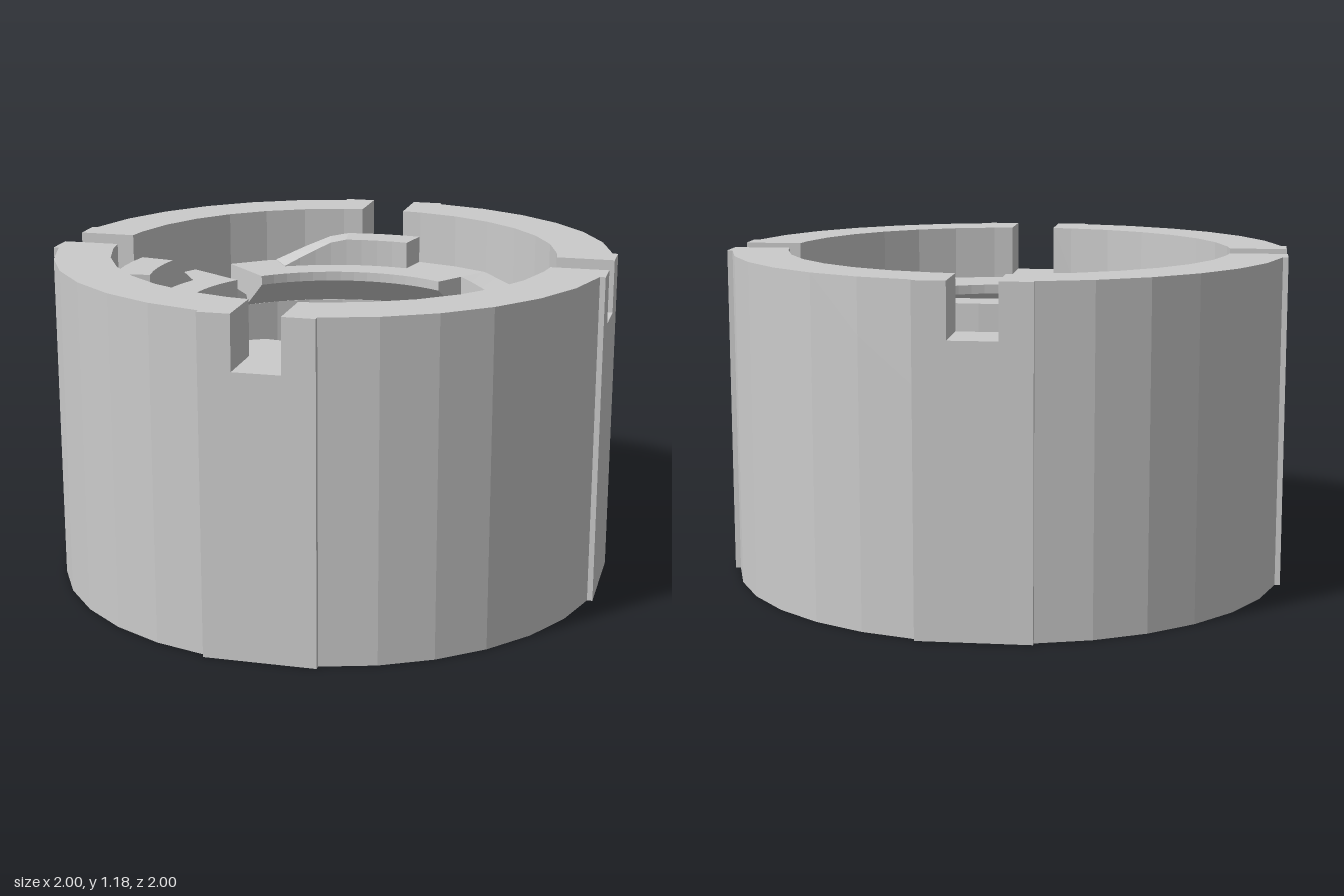
import * as THREE from 'three';

const material = new THREE.MeshStandardMaterial({ color: 0xcccccc, flatShading: true });
const RAD = Math.PI / 180;
const SEG = 32, STEP = 360 / SEG;
const BORE = 0.67, RECESS = 0.8, TAB = 0.545;
const Y_BODY = 0.84, Y_TAB = 0.98, Y_SLOT = 0.99, Y_TOP = 1.18, Y_LEDGE = 1.08;
const PAD = Math.sin(STEP * RAD), SLOT = 0.083;

const polar = (r, deg) => new THREE.Vector2(r * Math.cos(deg * RAD), r * Math.sin(deg * RAD));

// One quarter of the outer outline between two slots: half pad, arc, half pad
function quarterOutline() {
  const pts = [new THREE.Vector2(1, SLOT), new THREE.Vector2(1, PAD)];
  for (let a = STEP; a < 90 - STEP / 2; a += STEP) pts.push(polar(1, a));
  pts.push(new THREE.Vector2(PAD, 1), new THREE.Vector2(SLOT, 1));
  return pts;
}

function circlePath(r) {
  const pts = [];
  for (let i = 0; i < SEG; i++) pts.push(polar(r, -i * STEP));
  return new THREE.Path(pts);
}

// Upright extrusion of a plan shape from y0 to y1
function slab(name, shape, y0, y1) {
  const g = new THREE.ExtrudeGeometry(shape, { depth: y1 - y0, bevelEnabled: false });
  g.rotateX(-Math.PI / 2).translate(0, y0, 0);
  const mesh = new THREE.Mesh(g, material);
  mesh.name = name;
  return mesh;
}

function ringShape(hole) {
  const pts = [];
  for (let q = 0; q < 4; q++) {
    for (const p of quarterOutline()) pts.push(p.rotateAround(new THREE.Vector2(), q * Math.PI / 2));
  }
  const shape = new THREE.Shape(pts);
  shape.holes.push(circlePath(hole));
  return shape;
}

// Curved solid swept from angle a0 to a1 (x towards z); section(angle) lists [radius, y] clockwise
function sweep(name, a0, a1, section) {
  const n = Math.max(2, Math.ceil((a1 - a0) / 5.6));
  const pos = [], idx = [];
  let m = 0;
  for (let i = 0; i <= n; i++) {
    const a = a0 + (a1 - a0) * i / n;
    const s = section(a);
    m = s.length;
    for (const [r, y] of s) pos.push(r * Math.cos(a * RAD), y, r * Math.sin(a * RAD));
  }
  for (let i = 0; i < n; i++) {
    for (let k = 0; k < m; k++) {
      const p = i * m + k, q = i * m + (k + 1) % m;
      idx.push(p, p + m, q, q, p + m, q + m);
    }
  }
  for (let k = 1; k < m - 1; k++) {
    idx.push(0, k, k + 1, n * m, n * m + k + 1, n * m + k);
  }
  const g = new THREE.BufferGeometry();
  g.setAttribute('position', new THREE.Float32BufferAttribute(pos, 3));
  g.setIndex(idx);
  const flat = g.toNonIndexed();
  flat.computeVertexNormals();
  const mesh = new THREE.Mesh(flat, material);
  mesh.name = name;
  return mesh;
}

const ramp = (a, from, to) => THREE.MathUtils.clamp((a - from) / (to - from), 0, 1);

export function createModel() {
  const group = new THREE.Group();
  group.name = 'lockingCollar';

  // Thick sleeve and the thinner wall above its shelf
  group.add(slab('sleeve', ringShape(BORE), 0, Y_BODY));
  group.add(slab('recessWall', ringShape(RECESS), Y_BODY, Y_SLOT));

  // Four rim segments separated by slots
  const rimPts = quarterOutline();
  const edge = Math.asin(SLOT / RECESS) / RAD;
  rimPts.push(polar(RECESS, 90 - edge));
  for (let a = 90 - STEP; a > STEP / 2; a -= STEP) rimPts.push(polar(RECESS, a));
  rimPts.push(polar(RECESS, edge));
  for (let q = 0; q < 4; q++) {
    const rim = slab('rimSegment', new THREE.Shape(rimPts), Y_SLOT, Y_TOP);
    rim.rotation.y = q * Math.PI / 2;
    group.add(rim);
  }

  // Inward locking tabs with tapered undersides; the front one narrows at its end
  const tabs = [
    { a0: -11.5, a1: 22, low: 0.91 },
    { a0: 56, a1: 112, low: 0.945, taper: 101 },
    { a0: 169, a1: 213, low: 0.9 },
    { a0: 225, a1: 303, low: 0.945 },
  ];
  tabs.forEach((t, i) => {
    group.add(sweep('lockingTab', t.a0, t.a1, (a) => {
      const r = TAB + (t.taper ? 0.105 * ramp(a, t.taper, t.a1) : 0);
      return [[r, t.low], [r, Y_TAB], [RECESS, Y_TAB], [RECESS, Y_BODY - 0.01], [BORE, Y_BODY]];
    }));
    // Shelf ramp falling from this tab to the next
    const next = i < 3 ? tabs[i + 1].a0 : tabs[0].a0 + 360;
    group.add(sweep('shelfRamp', t.a1, next, (a) => {
      const y = Y_TAB - 0.1 * ramp(a, t.a1, next);
      return [[BORE, Y_BODY - 0.01], [BORE, y], [RECESS, y], [RECESS, Y_BODY - 0.01]];
    }));
  });

  // Raised stop ledges with a ramped lead-in
  const ledge = (a0, a1, from, to) => group.add(sweep('stopLedge', a0, a1, (a) => {
    const y = Y_TAB + 0.002 + (Y_LEDGE - Y_TAB) * ramp(a, from, to);
    return [[BORE, Y_TAB - 0.02], [BORE, y], [RECESS, y], [RECESS, Y_TAB - 0.02]];
  }));
  ledge(239, 281, 239, 257);
  ledge(169, 202, 202, 191);

  return group;
}
